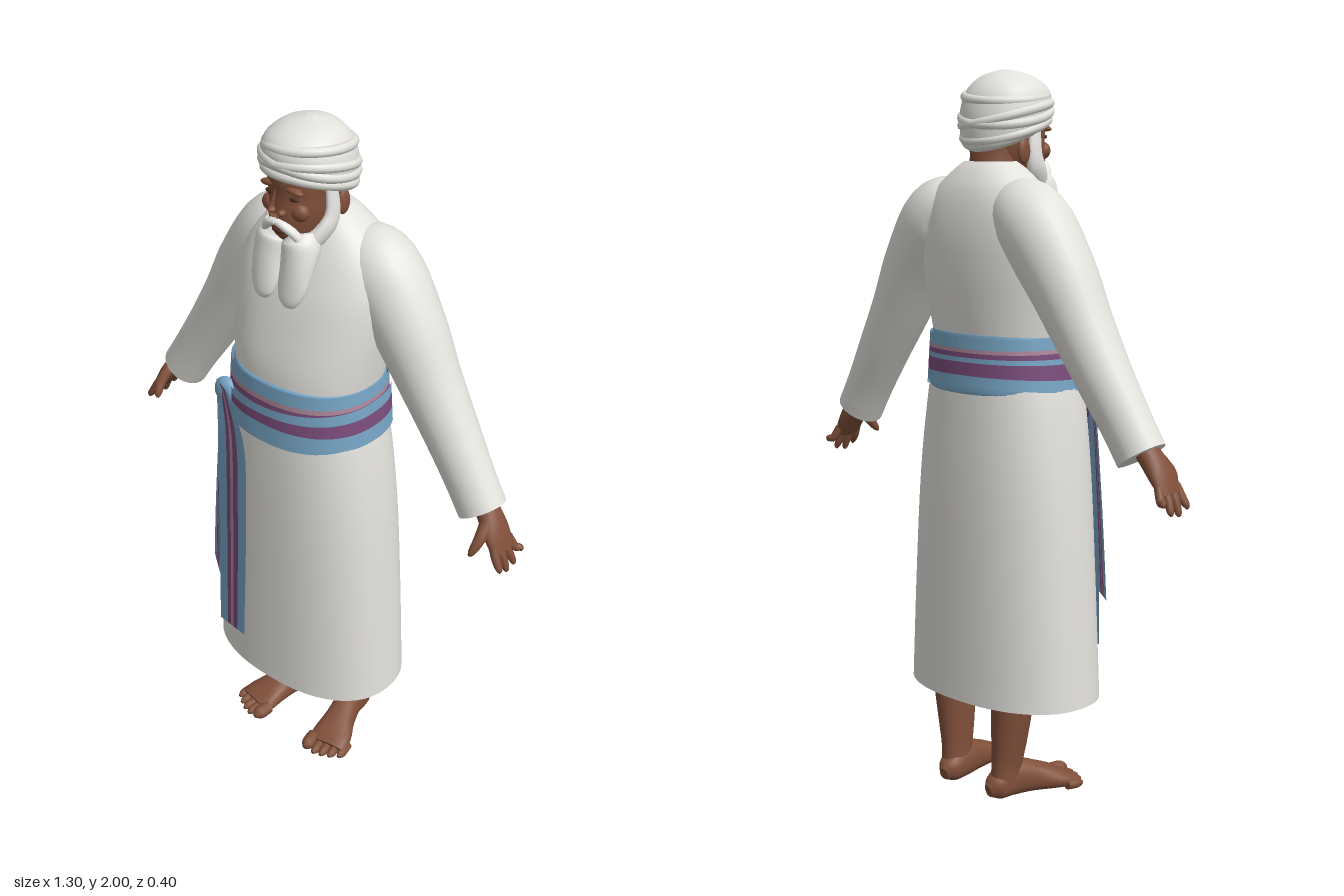
import * as THREE from 'three';

const mat = (name, color, side = THREE.FrontSide) => {
  const m = new THREE.MeshStandardMaterial({ color, side });
  m.name = name;
  return m;
};

export function createModel() {
  const model = new THREE.Group();
  model.name = 'robedElder';
  const white = mat('white cloth', 0xe2e1dc);
  const hair = mat('white hair', 0xe9e8e5);
  const skin = mat('brown skin', 0x81503a);
  const dark = mat('dark brown', 0x4a2b20);
  const blue = mat('blue cloth', 0x78a6c6, THREE.DoubleSide);
  const purple = mat('purple cloth', 0x7c4d7c, THREE.DoubleSide);
  const pink = mat('pink cloth', 0xb08a9c, THREE.DoubleSide);

  const add = (name, geo, material, parent = model) => {
    const mesh = new THREE.Mesh(geo, material);
    mesh.name = name;
    parent.add(mesh);
    return mesh;
  };
  const group = (name) => {
    const g = new THREE.Group();
    g.name = name;
    model.add(g);
    return g;
  };
  const power = (v, p) => Math.sign(v) * Math.pow(Math.abs(v), 2 / p);
  const V = (a) => new THREE.Vector3(...a);

  // Smooth skin through sections [x, y, z, radius across, radius along ref]
  function loft(sections, { ref = [0, 0, 1], seg = 20, steps = 4, p = 2, level = false } = {}) {
    const path = new THREE.CatmullRomCurve3(sections.map((s) => V(s.slice(0, 3))), false, 'catmullrom');
    const radii = new THREE.CatmullRomCurve3(sections.map((s) => V([s[3], s[4], 0])), false, 'catmullrom');
    const n = (sections.length - 1) * steps;
    const pos = [], idx = [];
    const point = (v) => pos.push(v.x, v.y, v.z);
    const rings = [];
    for (let i = 0; i <= n; i++) {
      const c = path.getPoint(i / n), r = radii.getPoint(i / n);
      const t = level ? V([0, 1, 0]) : path.getTangent(i / n);
      const v = V(ref).addScaledVector(t, -V(ref).dot(t)).normalize();
      const u = v.clone().cross(t);
      const ring = [];
      for (let j = 0; j < seg; j++) {
        const a = (j / seg) * Math.PI * 2;
        ring.push(c.clone().addScaledVector(u, r.x * power(Math.cos(a), p)).addScaledVector(v, r.y * power(Math.sin(a), p)));
      }
      ring.forEach(point);
      rings.push({ c, ring });
    }
    for (let i = 0; i < n; i++) for (let j = 0; j < seg; j++) {
      const k = (j + 1) % seg, a = i * seg, b = a + seg;
      idx.push(a + j, a + k, b + k, a + j, b + k, b + j);
    }
    for (const [{ c, ring }, end] of [[rings[0], 0], [rings[n], 1]]) {
      const base = pos.length / 3;
      point(c);
      ring.forEach(point);
      for (let j = 0; j < seg; j++) {
        const a = base + 1 + j, b = base + 1 + ((j + 1) % seg);
        if (end) idx.push(base, a, b); else idx.push(base, b, a);
      }
    }
    return finish(pos, idx);
  }
  function finish(pos, idx) {
    const g = new THREE.BufferGeometry();
    g.setAttribute('position', new THREE.Float32BufferAttribute(pos, 3));
    g.setIndex(idx);
    g.computeVertexNormals();
    return g;
  }
  // Upright form from rows [y, half width, front z, back z]
  const upright = (rows, opt) => loft(
    rows.map(([y, w, f, b]) => [0, y, (f + b) / 2, w, (f - b) / 2]), { level: true, seg: 48, ...opt });

  // Striped cloth between two edges; stripes are [from, to, material]
  function ribbon(name, edgeA, edgeB, stripes) {
    const g = group(name);
    for (const [from, to, material] of stripes) {
      const pos = [], idx = [];
      edgeA.forEach((a, i) => {
        for (const f of [from, to]) pos.push(...a.clone().lerp(edgeB[i], f).toArray());
        if (i) { const k = 2 * i; idx.push(k - 2, k, k - 1, k - 1, k, k + 1); }
      });
      add(name + 'Stripe', finish(pos, idx), material, g);
    }
  }
  const ball = (name, material, at, size, parent) => {
    const m = add(name, new THREE.SphereGeometry(1, 20, 14), material, parent);
    m.position.set(...at);
    m.scale.set(...size);
    return m;
  };

  // Robe
  add('robe', upright([
    [0.285, 0.3, 0.195, -0.197], [0.6, 0.282, 0.192, -0.193], [0.9, 0.26, 0.19, -0.187],
    [1.13, 0.23, 0.185, -0.175], [1.25, 0.205, 0.175, -0.165], [1.35, 0.215, 0.168, -0.175],
    [1.45, 0.228, 0.145, -0.184], [1.55, 0.232, 0.115, -0.186], [1.63, 0.212, 0.08, -0.177],
    [1.69, 0.165, 0.05, -0.16], [1.735, 0.11, 0.025, -0.133], [1.758, 0.078, 0.0, -0.11],
  ], { p: 2.3 }), white);

  // Arms, hands, legs and feet
  for (const s of [1, -1]) {
    const limb = (name, material, pts, opt, parent) =>
      add(name, loft(pts.map(([x, ...r]) => [s * x, ...r]), opt), material, parent);
    limb('sleeve', white, [
      [0.09, 1.63, -0.075, 0.085, 0.08], [0.17, 1.6, -0.075, 0.108, 0.103], [0.265, 1.475, -0.072, 0.1, 0.096],
      [0.345, 1.34, -0.07, 0.086, 0.083], [0.42, 1.22, -0.068, 0.076, 0.074], [0.49, 1.11, -0.063, 0.07, 0.066],
      [0.54, 1.03, -0.06, 0.069, 0.064],
    ], { seg: 28, steps: 5 });

    const hand = group(s > 0 ? 'leftHand' : 'rightHand');
    limb('palm', skin, [
      [0.53, 1.07, -0.058, 0.028, 0.034], [0.565, 1.03, -0.055, 0.03, 0.037],
      [0.598, 0.985, -0.048, 0.024, 0.046], [0.625, 0.94, -0.046, 0.013, 0.043],
    ], {}, hand);
    [[-0.083, -0.1, 0.918], [-0.058, -0.068, 0.892], [-0.034, -0.037, 0.886], [-0.012, -0.005, 0.9]].forEach(([z0, z1, y]) =>
      limb('finger', skin, [
        [0.614, 0.962, z0, 0.011, 0.011], [0.63, 0.93, (z0 + z1) / 2, 0.012, 0.012],
        [0.643, y + 0.01, z1, 0.009, 0.009], [0.646, y, z1, 0.003, 0.003],
      ], { seg: 10 }, hand));
    limb('thumb', skin, [
      [0.578, 1.02, -0.03, 0.018, 0.018], [0.582, 0.985, 0.005, 0.016, 0.016],
      [0.576, 0.955, 0.027, 0.011, 0.011], [0.572, 0.943, 0.034, 0.004, 0.004],
    ], { seg: 10 }, hand);

    limb('leg', skin, [
      [0.098, 0.035, -0.1, 0.036, 0.047], [0.1, 0.1, -0.094, 0.037, 0.05], [0.106, 0.18, -0.09, 0.046, 0.057],
      [0.114, 0.29, -0.088, 0.056, 0.064], [0.116, 0.4, -0.088, 0.058, 0.066],
    ], { seg: 24 });
    const foot = group(s > 0 ? 'leftFoot' : 'rightFoot');
    limb('sole', skin, [
      [0.09, 0.03, -0.158, 0.014, 0.018], [0.093, 0.038, -0.13, 0.035, 0.038], [0.1, 0.052, -0.07, 0.039, 0.052],
      [0.118, 0.042, -0.005, 0.045, 0.042], [0.138, 0.028, 0.06, 0.061, 0.028], [0.146, 0.019, 0.1, 0.06, 0.018],
    ], { ref: [0, 1, 0], p: 2.3 }, foot);
    for (let i = 0; i < 5; i++) {
      const r = i ? 0.0135 : 0.02, x = i ? 0.106 + i * 0.0235 : 0.1, z = 0.148 - i * i * 0.0025;
      limb('toe', skin, [
        [x - 0.006, r + 0.003, z - 0.055, r, r], [x, r, z - 0.018, r, r], [x + 0.002, r * 0.9, z, r * 0.4, r * 0.4],
      ], { ref: [0, 1, 0], seg: 10 }, foot);
    }
  }

  // Head, neck and face
  add('neck', upright([[1.69, 0.075, 0.0, -0.12], [1.76, 0.066, 0.03, -0.108], [1.83, 0.07, 0.03, -0.1]], { seg: 28 }), skin);
  add('head', upright([
    [1.69, 0.04, 0.1, 0.0], [1.72, 0.064, 0.122, -0.04], [1.77, 0.082, 0.128, -0.085],
    [1.82, 0.088, 0.122, -0.1], [1.88, 0.09, 0.122, -0.105], [1.94, 0.07, 0.08, -0.08],
  ], { seg: 36 }), skin);
  const face = group('face');
  add('nose', loft([
    [0, 1.85, 0.117, 0.009, 0.01], [0, 1.82, 0.127, 0.012, 0.014], [0, 1.795, 0.135, 0.017, 0.018],
    [0, 1.777, 0.134, 0.013, 0.012],
  ], { level: true }), skin, face);
  ball('lip', dark, [0, 1.732, 0.121], [0.022, 0.007, 0.012], face);
  for (const s of [1, -1]) {
    ball('nostril', skin, [s * 0.016, 1.785, 0.128], [0.01, 0.009, 0.013], face);
    ball('eye', dark, [s * 0.036, 1.822, 0.108], [0.018, 0.007, 0.008], face);
    ball('brow', skin, [s * 0.038, 1.846, 0.109], [0.03, 0.009, 0.014], face).rotation.z = -s * 0.15;
    ball('cheek', skin, [s * 0.045, 1.785, 0.095], [0.028, 0.025, 0.022], face);
    ball('ear', skin, [s * 0.09, 1.785, -0.02], [0.011, 0.034, 0.022], face);
  }

  // Forked beard, moustache and sideburns
  const beard = group('beard');
  for (const s of [1, -1]) {
    const tuft = (name, pts) => add(name, loft(pts.map(([x, ...r]) => [s * x, ...r])), hair, beard);
    tuft('beardLobe', [
      [0.035, 1.722, 0.08, 0.04, 0.034], [0.042, 1.69, 0.085, 0.05, 0.05], [0.046, 1.64, 0.105, 0.048, 0.038],
      [0.045, 1.585, 0.125, 0.043, 0.024], [0.041, 1.55, 0.136, 0.03, 0.015], [0.038, 1.535, 0.138, 0.012, 0.007],
    ]);
    tuft('moustache', [
      [0, 1.758, 0.13, 0.009, 0.011], [0.025, 1.75, 0.127, 0.011, 0.013],
      [0.05, 1.725, 0.112, 0.011, 0.013], [0.062, 1.69, 0.1, 0.008, 0.01],
    ]);
    tuft('sideburn', [
      [0.088, 1.845, 0.025, 0.01, 0.02], [0.091, 1.78, 0.022, 0.013, 0.024],
      [0.083, 1.735, 0.035, 0.019, 0.032], [0.055, 1.69, 0.07, 0.025, 0.032],
    ]);
  }

  // Turban, its lower edge rising to the front
  const turban = upright([
    [1.822, 0.096, 0.11, -0.105], [1.835, 0.113, 0.124, -0.119], [1.87, 0.12, 0.13, -0.124],
    [1.91, 0.119, 0.13, -0.122], [1.95, 0.103, 0.113, -0.106], [1.982, 0.065, 0.072, -0.066], [1.998, 0.012, 0.014, -0.01],
  ]);
  const tp = turban.attributes.position;
  for (let i = 0; i < tp.count; i++)
    tp.setY(i, tp.getY(i) + tp.getZ(i) * 0.36 * Math.max(0, (2 - tp.getY(i)) / 0.17));
  turban.computeVertexNormals();
  add('turban', turban, white);
  const wraps = group('turbanWraps');
  for (const [y, tz, tx, r] of [[1.845, 0.3, 0, 0.109], [1.882, 0.22, 0.13, 0.114], [1.882, 0.22, -0.13, 0.114], [1.93, 0.12, 0.1, 0.105]]) {
    const loop = [];
    for (let i = 0; i < 24; i++) {
      const x = r * Math.cos(i * Math.PI / 12), z = (r + 0.007) * Math.sin(i * Math.PI / 12);
      loop.push(new THREE.Vector3(x, y + tz * z + tx * x, z + 0.004));
    }
    add('wrap', new THREE.TubeGeometry(new THREE.CatmullRomCurve3(loop, true), 64, 0.0135, 10, true), white, wraps);
  }

  // Sash: solid core, striped wrap and a slanted overlap
  add('sashCore', upright([
    [1.14, 0.214, 0.178, -0.172], [1.155, 0.222, 0.188, -0.176], [1.22, 0.216, 0.187, -0.173],
    [1.295, 0.209, 0.18, -0.172], [1.308, 0.2, 0.172, -0.168],
  ], { p: 2.3 }), blue);
  const sashEdge = (from, to, out, yAt) => Array.from({ length: 65 }, (_, i) => {
    const a = from + (to - from) * i / 64, y = yAt(i / 64, Math.sin(a)), w = (1.31 - y) * 0.07;
    return new THREE.Vector3((0.211 + out + w) * power(Math.cos(a), 2.3), y,
      0.005 + (0.181 + out + w * 0.6) * power(Math.sin(a), 2.3));
  });
  ribbon('sash',
    sashEdge(-Math.PI / 2, Math.PI * 1.5, 0.003, (t, f) => 1.15 - 0.018 * f),
    sashEdge(-Math.PI / 2, Math.PI * 1.5, 0.003, (t, f) => 1.302 + 0.008 * f),
    [[0, 0.22, blue], [0.22, 0.5, purple], [0.5, 0.6, blue], [0.6, 0.7, purple], [0.7, 0.78, pink], [0.78, 1, blue]]);
  ribbon('sashOverlap',
    sashEdge(-0.5, 2.45, 0.009, (t) => 1.142 + 0.035 * t * t),
    sashEdge(-0.5, 2.45, 0.009, (t) => 1.262 - 0.035 * t * t),
    [[0, 0.38, blue], [0.38, 0.72, purple], [0.72, 1, blue]]);
  ball('sashKnot', blue, [-0.163, 1.205, 0.158], [0.04, 0.042, 0.024]);

  // Hanging sash tails
  const edge = (pts) => new THREE.CatmullRomCurve3(pts.map(V)).getPoints(24);
  const bands = [[0, 0.3, blue], [0.3, 0.43, purple], [0.43, 0.53, pink], [0.53, 0.7, purple], [0.7, 1, blue]];
  ribbon('longTail',
    edge([[-0.195, 1.235, 0.165], [-0.175, 1.12, 0.186], [-0.185, 0.76, 0.186], [-0.192, 0.4, 0.188]]),
    edge([[-0.12, 1.235, 0.2], [-0.068, 1.1, 0.201], [-0.066, 0.86, 0.2], [-0.086, 0.4, 0.201]]), bands);
  ribbon('shortTail',
    edge([[-0.212, 1.21, 0.125], [-0.238, 1.0, 0.122], [-0.26, 0.75, 0.122], [-0.275, 0.56, 0.12]]),
    edge([[-0.155, 1.2, 0.178], [-0.172, 0.95, 0.178], [-0.18, 0.75, 0.182], [-0.187, 0.56, 0.186]]), bands);

  return model;
}
